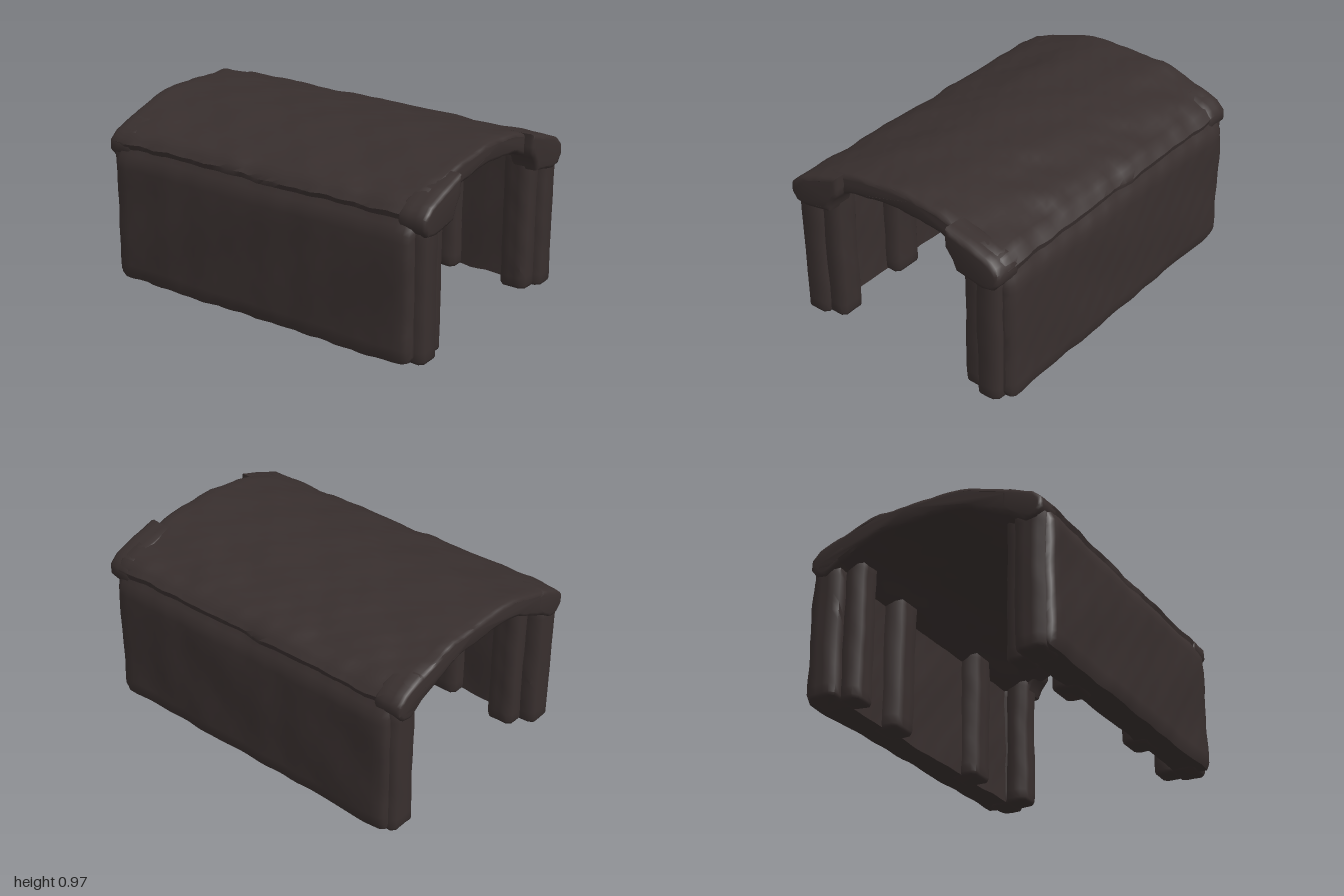
import * as THREE from 'three';
import { mergeVertices, toCreasedNormals } from 'three/addons/utils/BufferGeometryUtils.js';

const bark = new THREE.MeshStandardMaterial({ color: 0x382f2e });
bark.name = 'darkBark';

// Bumpy offset that depends only on position
function bump(x, y, z, k) {
  return 0.4 * Math.sin(11 * x + 5 * z + 3 * k) * Math.sin(9 * y - 7 * z + k)
    + 0.3 * Math.sin(23 * z + 8 * x + 2 * k) * Math.sin(17 * x + 4 * z)
    + 0.25 * Math.sin(19 * x - 13 * y + 6 * z + k)
    + 0.25 * Math.sin(41 * x + 31 * y + k) * Math.sin(37 * z - 12 * x);
}

// Split long outline edges so the surface can be roughened
function subdivide(points, step = 0.05) {
  const out = [];
  points.forEach(([ax, ay], i) => {
    const [bx, by] = points[(i + 1) % points.length];
    const n = Math.max(1, Math.ceil(Math.hypot(bx - ax, by - ay) / step));
    for (let j = 0; j < n; j++) {
      out.push(new THREE.Vector2(ax + (bx - ax) * j / n, ay + (by - ay) * j / n));
    }
  });
  return out;
}

// Extrude an outline between two depths, with rounded ends and a rough surface
function rough(name, outline, from, to, { upright = false, bevel = 0.02, amount = 0.009 } = {}) {
  const depth = to - from - 2 * bevel;
  let geo = new THREE.ExtrudeGeometry(new THREE.Shape(subdivide(outline)), {
    depth, steps: Math.max(1, Math.ceil(depth / 0.05)), bevelEnabled: true,
    bevelThickness: bevel, bevelSize: bevel, bevelOffset: -bevel, bevelSegments: 2,
  });
  geo.translate(0, 0, from + bevel);
  if (upright) geo.rotateX(-Math.PI / 2);
  geo.deleteAttribute('normal');
  geo.deleteAttribute('uv');
  geo = mergeVertices(geo, 1e-4);
  const p = geo.attributes.position;
  for (let i = 0; i < p.count; i++) {
    const x = p.getX(i), y = p.getY(i), z = p.getZ(i);
    p.setXYZ(i, x + amount * bump(x, y, z, 1), Math.max(0, y + amount * bump(x, y, z, 2)),
      z + 0.4 * amount * bump(x, y, z, 3));
  }
  const mesh = new THREE.Mesh(toCreasedNormals(geo, 0.9), bark);
  mesh.name = name;
  return mesh;
}

// Rectangle outline with clipped corners
function block(x0, x1, y0, y1, c) {
  return [[x0 + c, y0], [x1 - c, y0], [x1, y0 + c], [x1, y1 - c],
    [x1 - c, y1], [x0 + c, y1], [x0, y1 - c], [x0, y0 + c]];
}

// Upright post; the outline runs in x and -z
function post(name, s, x0, x1, z0, z1, top) {
  const [a, b] = s > 0 ? [x0, x1] : [-x1, -x0];
  return rough(name, block(a, b, -z1, -z0, 0.025), 0.005, top, { upright: true, amount: 0.007 });
}

export function createModel() {
  const g = new THREE.Group();

  // Arched roof shell
  const outer = [[0, 0.96], [0.14, 0.957], [0.26, 0.942], [0.4, 0.905], [0.52, 0.87],
    [0.63, 0.825], [0.672, 0.78], [0.655, 0.71]];
  const inner = [[0.56, 0.7], [0.47, 0.735], [0.38, 0.785], [0.28, 0.825], [0.14, 0.85], [0, 0.856]];
  const half = [...outer, ...inner];
  const mirrored = half.slice(1, -1).reverse().map(([x, y]) => [-x, y]);
  g.add(rough('roof', [...half, ...mirrored], -1, 0.945, { amount: 0.012 }));

  for (const s of [-1, 1]) {
    const side = new THREE.Group();
    side.name = s > 0 ? 'leftSide' : 'rightSide';
    const flip = points => points.map(([x, y]) => [s * x, y]);

    // Side wall, bulging slightly past the roof and rounded off towards the ends
    const wall = [[0.53, 0.01], [0.69, 0.01], [0.705, 0.05], [0.703, 0.3], [0.703, 0.6],
      [0.698, 0.69], [0.645, 0.79], [0.59, 0.8], [0.54, 0.76]];
    side.add(rough('wall', flip(wall), -0.95, 0.93, { bevel: 0.04 }));

    // Haunches carrying the roof; the back ones stay within the roof line inside
    const shoulder = [[0.5, 0.877], [0.62, 0.832], [0.672, 0.785], [0.675, 0.73], [0.64, 0.685], [0.58, 0.675]];
    const frontHaunch = [[0.35, 0.815], [0.35, 0.918], ...shoulder, [0.415, 0.7], [0.395, 0.755]];
    const backHaunch = [[0.45, 0.76], [0.45, 0.87], ...shoulder, [0.52, 0.71]];
    side.add(rough('frontHaunch', flip(frontHaunch), 0.84, 1, { amount: 0.006 }));
    side.add(rough('backHaunch', flip(backHaunch), -1, -0.84, { amount: 0.006 }));

    // Paired posts at each end and single posts inside
    side.add(post('frontOuterPost', s, 0.51, 0.65, 0.79, 0.982, 0.74));
    side.add(post('frontInnerPost', s, 0.41, 0.54, 0.79, 0.945, 0.8));
    side.add(post('frontMiddlePost', s, 0.45, 0.6, 0.29, 0.48, 0.79));
    side.add(post('backMiddlePost', s, 0.45, 0.6, -0.5, -0.31, 0.79));
    side.add(post('backInnerPost', s, 0.42, 0.54, -0.9, -0.74, 0.8));
    side.add(post('backOuterPost', s, 0.51, 0.67, -0.982, -0.79, 0.74));
    g.add(side);
  }
  return g;
}
